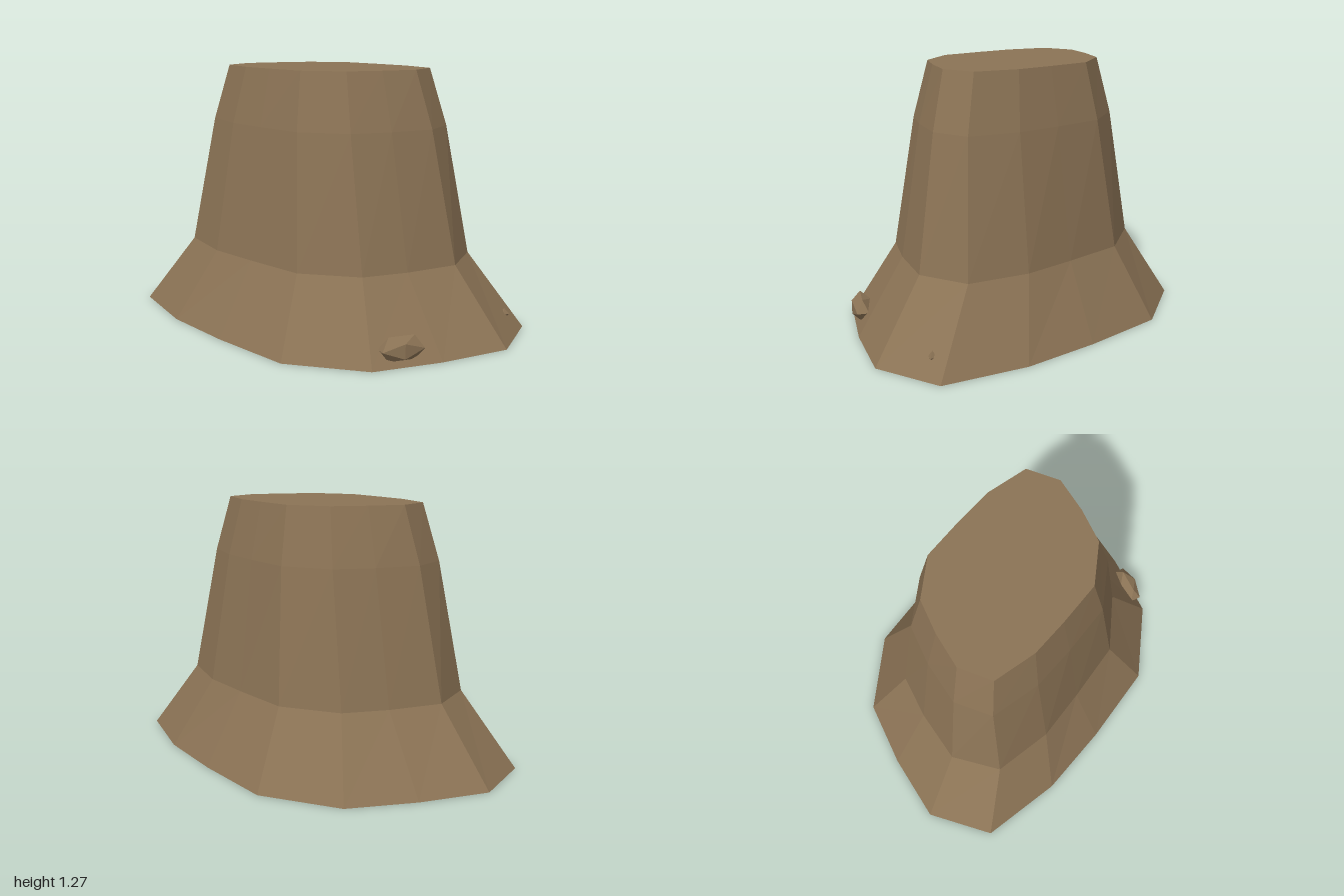
import * as THREE from 'three';

const bark = new THREE.MeshStandardMaterial({ color: 0x8b7355, flatShading: true });
bark.name = 'barkBrown';

// Half outlines (x, z) of the stump at each height; the other half is the same turned 180 degrees
const rings = [
  { y: 0, half: [[1, 0], [0.82, 0.3], [0.61, 0.57], [0.22, 0.71], [-0.2, 0.63], [-0.57, 0.53], [-0.945, 0.34]] },
  { y: 0.36, half: [[0.72, -0.015], [0.59, 0.22], [0.455, 0.4], [0.17, 0.51], [-0.14, 0.455], [-0.4, 0.4], [-0.67, 0.265]] },
  { y: 1, half: [[0.59, 0], [0.48, 0.19], [0.355, 0.345], [0.115, 0.425], [-0.135, 0.37], [-0.35, 0.31], [-0.57, 0.19]] },
  { y: 1.275, half: [[0.505, 0.01], [0.41, 0.16], [0.3, 0.295], [0.095, 0.365], [-0.12, 0.315], [-0.3, 0.265], [-0.49, 0.16]] },
].map(({ y, half }) => [...half, ...half.map(([x, z]) => [-x, -z])].map(([x, z]) => [x, y, z]));

function meshFromTriangles(name, triangles) {
  const geometry = new THREE.BufferGeometry();
  geometry.setAttribute('position', new THREE.Float32BufferAttribute(triangles.flat(2), 3));
  geometry.computeVertexNormals();
  const mesh = new THREE.Mesh(geometry, bark);
  mesh.name = name;
  return mesh;
}

// Flared sides, joined ring to ring
function makeSides() {
  const triangles = [];
  for (let r = 0; r < rings.length - 1; r++) {
    const low = rings[r], high = rings[r + 1];
    low.forEach((a, i) => {
      const j = (i + 1) % low.length;
      triangles.push([a, high[i], low[j]], [low[j], high[i], high[j]]);
    });
  }
  return meshFromTriangles('stumpSides', triangles);
}

// Flat end of the stump
function makeCap(name, ring, up) {
  const centre = [0, ring[0][1], 0];
  return meshFromTriangles(name, ring.map((p, i) => {
    const q = ring[(i + 1) % ring.length];
    return up ? [centre, q, p] : [centre, p, q];
  }));
}

// Faceted lump set into the side, long axis along the surface
function makeKnot(name, geometry, position, size, turn) {
  const mesh = new THREE.Mesh(geometry, bark);
  mesh.name = name;
  mesh.position.set(...position);
  mesh.scale.set(...size);
  mesh.rotation.y = turn;
  return mesh;
}

export function createModel() {
  const group = new THREE.Group();
  group.name = 'treeStump';
  group.add(
    makeSides(),
    makeCap('cutTop', rings[3], true),
    makeCap('underside', rings[0], false),
    makeKnot('largeKnot', new THREE.IcosahedronGeometry(1, 0), [0.677, 0.079, 0.43], [0.12, 0.068, 0.055], 0.91),
    // Small splinters barely breaking the surface
    makeKnot('rightSplinter', new THREE.OctahedronGeometry(1, 0), [0.885, 0.085, -0.24], [0.025, 0.028, 0.02], 0.4),
    makeKnot('leftSplinter', new THREE.OctahedronGeometry(1, 0), [-0.64, 0.105, 0.405], [0.09, 0.018, 0.02], -0.35),
  );
  return group;
}
